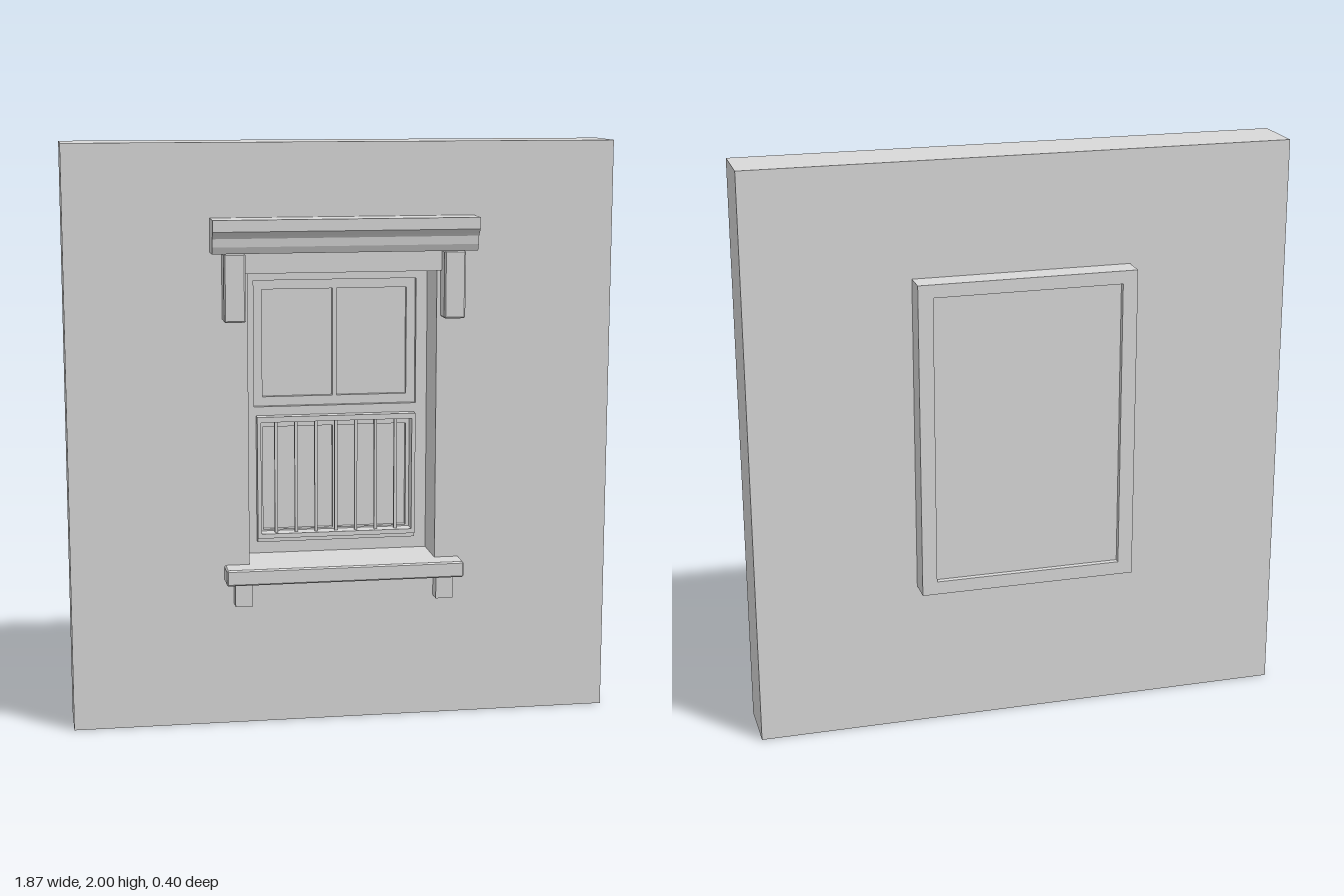
import * as THREE from 'three';
import { ConvexGeometry } from 'three/addons/geometries/ConvexGeometry.js';

// Box with every edge and corner cut flat
function chamferedBox(w, h, d, cut) {
  const points = [];
  for (const sx of [-1, 1]) for (const sy of [-1, 1]) for (const sz of [-1, 1]) {
    const x = w / 2, y = h / 2, z = d / 2;
    points.push(
      new THREE.Vector3(sx * x, sy * (y - cut), sz * (z - cut)),
      new THREE.Vector3(sx * (x - cut), sy * y, sz * (z - cut)),
      new THREE.Vector3(sx * (x - cut), sy * (y - cut), sz * z),
    );
  }
  return new ConvexGeometry(points);
}

export function createModel() {
  const group = new THREE.Group();
  const stone = new THREE.MeshStandardMaterial({ color: 0xd8d8d8 });
  stone.name = 'plain light grey';

  const add = (name, geometry) => {
    const mesh = new THREE.Mesh(geometry, stone);
    mesh.name = name;
    group.add(mesh);
  };

  // Block given by its limits on each axis, with optional cut edges
  const block = (name, x0, x1, y0, y1, z0, z1, cut = 0) => {
    const size = [x1 - x0, y1 - y0, z1 - z0];
    const geometry = cut ? chamferedBox(...size, cut) : new THREE.BoxGeometry(...size);
    geometry.translate((x0 + x1) / 2, (y0 + y1) / 2, (z0 + z1) / 2);
    add(name, geometry);
  };

  const rect = (Type, [x0, x1, y0, y1]) => new Type([
    new THREE.Vector2(x0, y0), new THREE.Vector2(x1, y0),
    new THREE.Vector2(x1, y1), new THREE.Vector2(x0, y1),
  ]);

  // Flat slab with rectangular openings
  const frame = (name, outer, holes, z0, z1) => {
    const shape = rect(THREE.Shape, outer);
    shape.holes = holes.map((h) => rect(THREE.Path, h));
    const geometry = new THREE.ExtrudeGeometry(shape, { depth: z1 - z0, bevelEnabled: false });
    geometry.translate(0, 0, z0);
    add(name, geometry);
  };

  const front = 0.092, back = -0.114;
  const opening = [-0.324, 0.324, 0.562, 1.565];

  // Wall and the casing behind it
  frame('wall', [-0.935, 0.935, 0, 2], [opening], back, front);
  frame('rearCasing', [-0.375, 0.375, 0.516, 1.61], [opening], -0.2, back);
  block('windowPane', -0.324, 0.324, 0.562, 1.565, -0.18, -0.105);

  // Window frame with its two sashes, each with two panes
  const upper = [-0.285, 0.285, 1.083, 1.523];
  const lower = [-0.279, 0.279, 0.607, 1.052];
  frame('windowFrame', opening, [upper, lower], -0.105, -0.07);
  frame('upperSash', upper,
    [[-0.254, -0.007, 1.115, 1.49], [0.007, 0.254, 1.115, 1.49]], -0.105, -0.088);
  frame('lowerSash', lower,
    [[-0.254, -0.007, 0.642, 1.009], [0.007, 0.254, 0.642, 1.009]], -0.105, -0.085);

  // Railing in front of the lower sash
  frame('railingFrame', [-0.279, 0.279, 0.621, 1.052],
    [[-0.266, 0.266, 0.637, 1.033]], -0.085, -0.035);
  block('railingFoot', -0.279, 0.279, 0.607, 0.621, -0.085, -0.045);
  for (let i = -3; i <= 3; i++) {
    const x = i * 0.0705;
    block('baluster', x - 0.005, x + 0.005, 0.637, 1.033, -0.066, -0.054);
  }

  // Moulded cornice, its profile drawn in depth and height
  const profile = [
    [front, 1.637], [0.165, 1.637], [0.175, 1.66], [0.178, 1.688],
    [0.185, 1.697], [0.2, 1.712], [0.2, 1.751], [front, 1.751],
  ].map(([z, y]) => new THREE.Vector2(-z, y));
  const cornice = new THREE.ExtrudeGeometry(new THREE.Shape(profile.reverse()),
    { depth: 0.898, bevelEnabled: false });
  cornice.translate(0, 0, -0.449);
  cornice.rotateY(Math.PI / 2);
  add('cornice', cornice);

  // Lintel board and sill
  block('lintelBoard', -0.337, 0.337, 1.565, 1.637, front, 0.108);
  block('sill', -0.411, 0.411, 0.508, 0.563, front - 0.006, 0.173, 0.005);

  // Paired brackets under the cornice and blocks under the sill
  for (const side of [-1, 1]) {
    const limits = (a, b) => (side > 0 ? [a, b] : [-b, -a]);
    block('corniceBracket', ...limits(0.337, 0.41), 1.407, 1.637, front - 0.006, 0.157, 0.005);
    block('sillBlock', ...limits(0.319, 0.379), 0.428, 0.51, front, 0.143);
  }

  return group;
}
